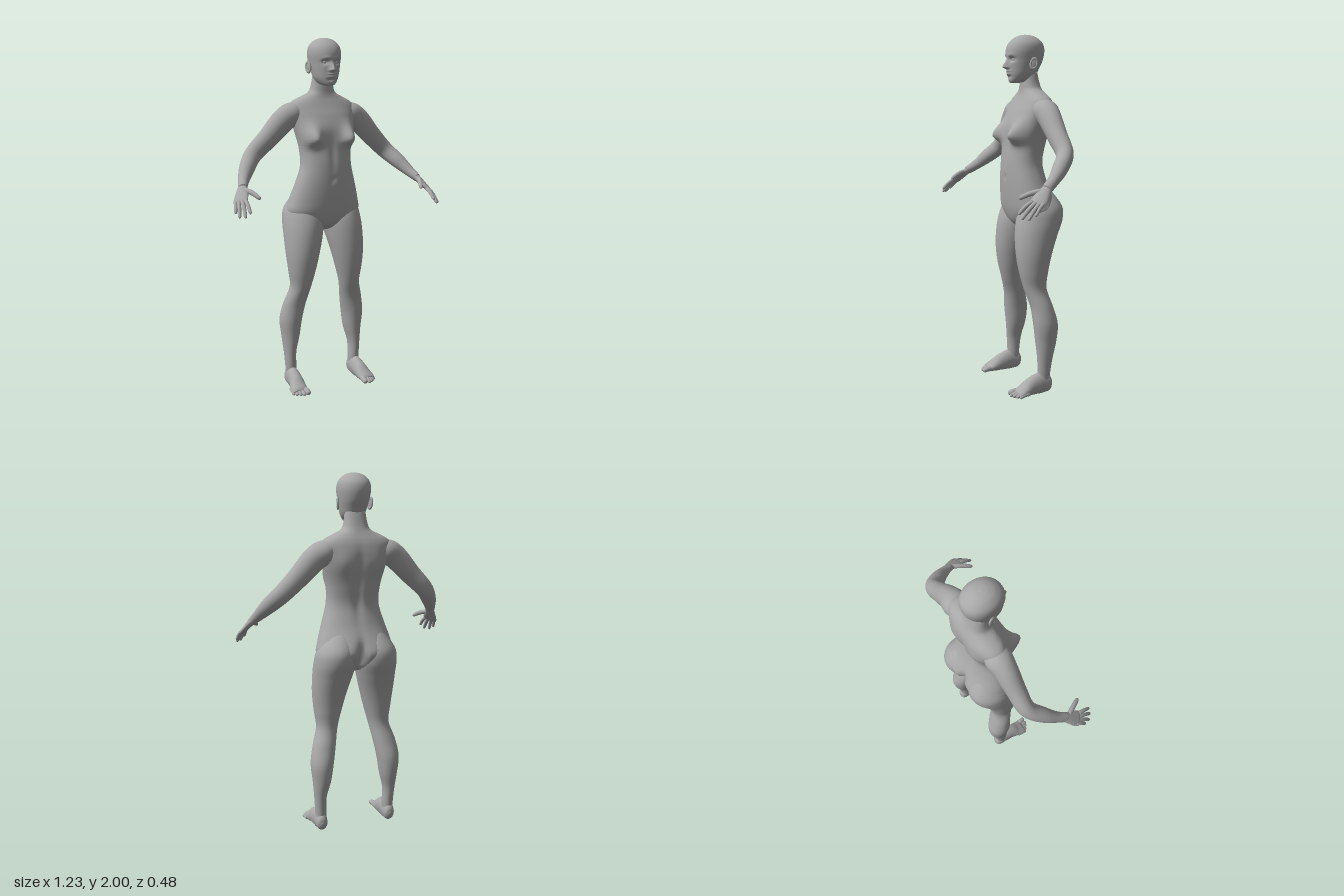
import * as THREE from 'three';

const skin = new THREE.MeshStandardMaterial({ color: 0xa8a8a8 });
skin.name = 'neutral grey';

// Closed smooth surface from rings: point(t, angle) -> Vector3
function skinRings(rows, seg, point) {
  const pos = [], index = [];
  for (let i = 0; i <= rows; i++) {
    for (let j = 0; j < seg; j++) pos.push(...point(i / rows, (j / seg) * Math.PI * 2).toArray());
  }
  for (let i = 0; i < rows; i++) {
    for (let j = 0; j < seg; j++) {
      const k = (j + 1) % seg, a = i * seg, b = a + seg;
      index.push(a + j, b + j, a + k, b + j, b + k, a + k);
    }
  }
  // End caps
  for (const row of [0, rows]) {
    const c = new THREE.Vector3(), centre = pos.length / 3;
    for (let j = 0; j < seg; j++) c.add(new THREE.Vector3().fromArray(pos, (row * seg + j) * 3));
    pos.push(...c.divideScalar(seg).toArray());
    for (let j = 0; j < seg; j++) {
      const a = row * seg + j, b = row * seg + (j + 1) % seg;
      index.push(centre, row ? b : a, row ? a : b);
    }
  }
  const geo = new THREE.BufferGeometry();
  geo.setAttribute('position', new THREE.Float32BufferAttribute(pos, 3));
  geo.setIndex(index);
  geo.computeVertexNormals();
  return geo;
}

const spline = (pts) => new THREE.CatmullRomCurve3(pts.map((p) => new THREE.Vector3(...p)), false, 'catmullrom');
const power = (v, e) => Math.sign(v) * Math.abs(v) ** e;

// Upright body part: rows of [y, centreX, halfWidth, frontZ, backZ]
function stack(sections, rows, seg, sculpt, e = 1) {
  const a = spline(sections.map((s) => [s[0], s[1], s[2]]));
  const b = spline(sections.map((s) => [s[3], s[4], 0]));
  return skinRings(rows, seg, (t, ang) => {
    const p = a.getPoint(t), q = b.getPoint(t);
    const v = new THREE.Vector3(
      p.y + p.z * power(Math.cos(ang), e), p.x,
      (q.x + q.y) / 2 + ((q.x - q.y) / 2) * power(Math.sin(ang), e));
    if (sculpt) sculpt(v, Math.sin(ang));
    return v;
  });
}

// Limb along a path: rows of [x, y, z, thickness, width], width measured along ref
function sweep(sections, ref, rows, seg, sculpt) {
  const path = spline(sections.map((s) => s.slice(0, 3)));
  const size = spline(sections.map((s) => [s[3], s[4], 0]));
  return skinRings(rows, seg, (t, ang) => {
    const T = path.getTangent(t);
    const V = ref.clone().addScaledVector(T, -ref.dot(T)).normalize();
    const U = new THREE.Vector3().crossVectors(T, V);
    const r = size.getPoint(t);
    const v = path.getPoint(t).addScaledVector(U, r.x * Math.cos(ang)).addScaledVector(V, r.y * Math.sin(ang));
    if (sculpt) sculpt(v);
    return v;
  });
}

// Finger or toe with a rounded tip
function digit(from, to, r, bend, ref) {
  const A = new THREE.Vector3(...from), B = new THREE.Vector3(...to);
  const at = (t, k) => {
    const p = A.clone().lerp(B, t);
    p.y += bend * Math.sin(t * Math.PI);
    return [...p.toArray(), r * k, r * k];
  };
  return sweep([at(0, 1), at(0.3, 1), at(0.6, 0.95), at(0.88, 0.82), at(0.97, 0.5), at(1, 0.1)], ref, 16, 12);
}

const bell = (d, w) => Math.exp(-((d / w) ** 2));
const bell2 = (d, below, above) => bell(d, d < 0 ? below : above);

function sculptTorso(v, s) {
  const x = Math.abs(v.x), y = v.y;
  if (s > 0) {
    v.z += 0.066 * bell(x - 0.112, 0.046) * bell2(y - 1.447, 0.038, 0.065); // bust
    v.z -= 0.008 * bell(x, 0.012) * bell(y - 1.22, 0.014); // navel
    v.z -= 0.006 * bell(x, 0.02) * bell(y - 1.36, 0.1);
  } else {
    v.z += 0.014 * bell(x, 0.025) * bell(y - 1.4, 0.17); // spine
    v.z -= 0.02 * bell(x - 0.085, 0.06) * bell(y - 1.04, 0.07); // seat
    v.z += 0.045 * bell(x, 0.02) * bell(y - 1.0, 0.08);
    v.z -= 0.01 * bell(x - 0.1, 0.05) * bell(y - 1.53, 0.06); // shoulder blades
  }
}

function sculptHead(v, s) {
  if (s <= 0) return;
  const x = Math.abs(v.x), y = v.y;
  v.z += 0.03 * bell(x, 0.012) * bell2(y - 1.823, 0.01, 0.032); // nose
  v.z += 0.01 * bell(x - 0.013, 0.008) * bell(y - 1.822, 0.009); // nostrils
  v.z -= 0.014 * bell(x - 0.034, 0.018) * bell(y - 1.864, 0.013); // eye sockets
  v.z += 0.004 * bell(x - 0.03, 0.025) * bell(y - 1.886, 0.01); // brows
  v.z += 0.009 * bell(x, 0.022) * (bell(y - 1.801, 0.006) + bell(y - 1.786, 0.007)); // lips
  v.z -= 0.006 * bell(x, 0.02) * bell(y - 1.77, 0.008);
}

export function createModel() {
  const model = new THREE.Group();
  const add = (name, geo) => {
    const mesh = new THREE.Mesh(geo, skin);
    mesh.name = name;
    model.add(mesh);
  };
  // Adds a left part and its mirrored right twin
  const pair = (name, geo) => {
    add('left' + name, geo);
    const twin = geo.clone().scale(-1, 1, 1);
    const idx = twin.index.array;
    for (let i = 0; i < idx.length; i += 3) [idx[i], idx[i + 1]] = [idx[i + 1], idx[i]];
    add('right' + name, twin);
  };
  const X = new THREE.Vector3(1, 0, 0), Y = new THREE.Vector3(0, 1, 0), Z = new THREE.Vector3(0, 0, 1);

  // Trunk and neck
  add('torso', stack([
    [0.925, 0, 0.02, -0.04, -0.12], [0.94, 0, 0.06, -0.01, -0.15], [0.975, 0, 0.15, 0.02, -0.19],
    [1.03, 0, 0.218, 0.04, -0.215], [1.1, 0, 0.208, 0.052, -0.205], [1.2, 0, 0.177, 0.06, -0.168],
    [1.3, 0, 0.15, 0.06, -0.148], [1.4, 0, 0.153, 0.05, -0.165], [1.5, 0, 0.175, 0.04, -0.19],
    [1.57, 0, 0.193, 0.015, -0.195], [1.62, 0, 0.2, -0.01, -0.19], [1.652, 0, 0.18, -0.025, -0.18],
    [1.677, 0, 0.132, -0.035, -0.168], [1.702, 0, 0.083, -0.04, -0.157], [1.735, 0, 0.066, -0.042, -0.146],
    [1.8, 0, 0.056, -0.045, -0.13],
  ], 120, 96, sculptTorso, 0.9));

  // Head, eyes and ears
  add('head', stack([
    [1.737, 0, 0.018, 0.024, -0.02], [1.75, 0, 0.043, 0.031, -0.08], [1.78, 0, 0.064, 0.036, -0.122],
    [1.82, 0, 0.075, 0.04, -0.146], [1.86, 0, 0.083, 0.042, -0.165], [1.91, 0, 0.09, 0.045, -0.175],
    [1.95, 0, 0.084, 0.031, -0.167], [1.98, 0, 0.061, 0, -0.138], [1.995, 0, 0.033, -0.032, -0.105],
    [2.0, 0, 0.004, -0.062, -0.072],
  ], 110, 110, sculptHead, 0.95));
  pair('Eye', new THREE.SphereGeometry(0.013, 20, 14).translate(0.034, 1.864, 0.013));
  const placeEar = (g) => g.rotateX(-0.2).rotateY(-0.3).translate(0.092, 1.84, -0.075);
  pair('EarRim', placeEar(new THREE.TorusGeometry(0.017, 0.006, 10, 28).rotateY(Math.PI / 2).scale(1, 1.55, 1)));
  pair('EarBowl', placeEar(new THREE.SphereGeometry(0.017, 18, 12).scale(0.3, 1.5, 1)));

  // Legs
  pair('Leg', stack([
    [0.03, 0.207, 0.03, -0.06, -0.125], [0.1, 0.207, 0.032, -0.052, -0.125], [0.2, 0.21, 0.035, -0.048, -0.14],
    [0.3, 0.203, 0.052, -0.04, -0.165], [0.4, 0.2, 0.065, -0.03, -0.172], [0.5, 0.182, 0.066, -0.02, -0.148],
    [0.6, 0.157, 0.061, 0.01, -0.122], [0.7, 0.149, 0.079, 0.035, -0.135], [0.8, 0.141, 0.097, 0.048, -0.16],
    [0.9, 0.129, 0.111, 0.047, -0.198], [0.98, 0.12, 0.117, 0.035, -0.232], [1.05, 0.115, 0.108, 0.01, -0.236],
    [1.12, 0.1, 0.075, -0.03, -0.195], [1.17, 0.095, 0.03, -0.08, -0.15],
  ], 90, 48));

  // Feet with flat soles
  pair('Foot', sweep([
    [0.207, 0.036, -0.136, 0.01, 0.014], [0.207, 0.04, -0.12, 0.03, 0.042], [0.208, 0.055, -0.07, 0.036, 0.062],
    [0.21, 0.047, -0.01, 0.04, 0.052], [0.215, 0.032, 0.035, 0.046, 0.036], [0.219, 0.023, 0.07, 0.047, 0.023],
    [0.22, 0.02, 0.085, 0.04, 0.013],
  ], Y, 40, 36, (v) => { v.y = Math.max(v.y, 0); }));
  const toes = [
    [0.189, 0.184, 0.123, 0.0165], [0.211, 0.21, 0.123, 0.0115], [0.228, 0.229, 0.114, 0.011],
    [0.243, 0.246, 0.101, 0.0105], [0.256, 0.261, 0.086, 0.01],
  ];
  toes.forEach(([x0, x1, z, r], i) => {
    pair('Toe' + (i + 1), digit([x0, 0.022, z - 0.06], [x1, r * 0.9, z], r, 0.005, X));
  });

  // Arms
  pair('Arm', sweep([
    [0.1, 1.61, -0.105, 0.03, 0.04], [0.17, 1.588, -0.102, 0.064, 0.07], [0.235, 1.548, -0.1, 0.067, 0.062],
    [0.325, 1.455, -0.1, 0.058, 0.052], [0.415, 1.368, -0.095, 0.05, 0.045], [0.475, 1.3, -0.035, 0.043, 0.041],
    [0.515, 1.245, 0.025, 0.031, 0.03], [0.54, 1.208, 0.075, 0.022, 0.027],
  ], Z, 70, 36));

  // Hands
  const across = new THREE.Vector3(-0.62, 0.12, 0.77);
  pair('Palm', sweep([
    [0.528, 1.227, 0.052, 0.02, 0.022], [0.545, 1.2, 0.083, 0.019, 0.03], [0.56, 1.173, 0.112, 0.016, 0.039],
    [0.573, 1.15, 0.136, 0.013, 0.041], [0.577, 1.142, 0.144, 0.007, 0.036],
  ], across, 28, 28));
  const fingers = [
    ['IndexFinger', [0.554, 1.155, 0.157], [0.555, 1.095, 0.236], 0.0105],
    ['MiddleFinger', [0.567, 1.152, 0.143], [0.579, 1.074, 0.229], 0.011],
    ['RingFinger', [0.58, 1.15, 0.127], [0.603, 1.071, 0.205], 0.0105],
    ['LittleFinger', [0.592, 1.148, 0.113], [0.612, 1.09, 0.169], 0.0095],
    ['Thumb', [0.542, 1.203, 0.09], [0.488, 1.163, 0.201], 0.0135],
  ];
  for (const [name, from, to, r] of fingers) pair(name, digit(from, to, r, 0.008, across));

  return model;
}
